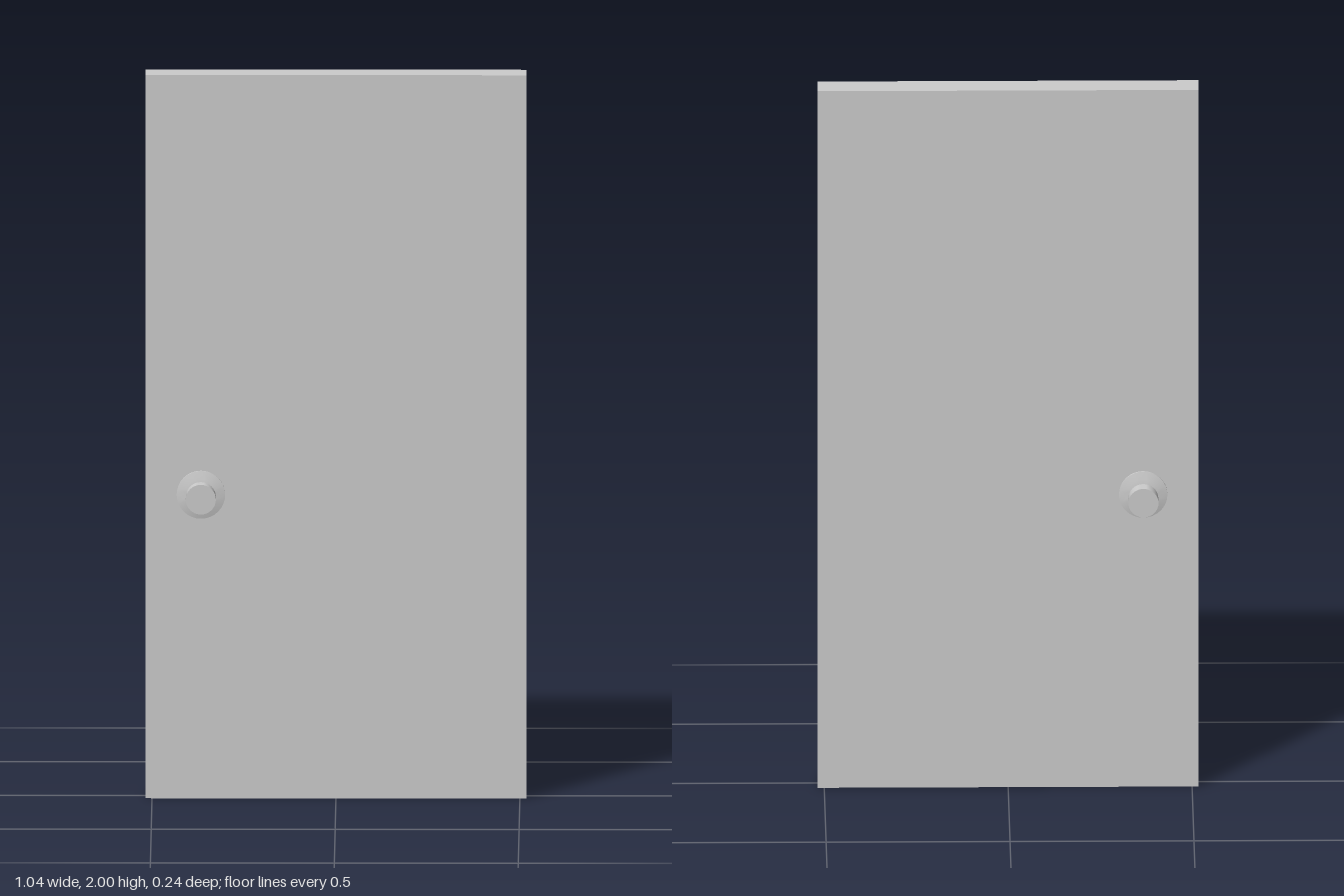
import * as THREE from 'three';
import { toCreasedNormals } from 'three/addons/utils/BufferGeometryUtils.js';

const HALF_THICKNESS = 0.041;

export function createModel() {
  const material = new THREE.MeshStandardMaterial({ color: 0xcccccc });
  const model = new THREE.Group();
  model.name = 'door';

  const add = (parent, name, geometry) => {
    const mesh = new THREE.Mesh(geometry, material);
    mesh.name = name;
    parent.add(mesh);
    return mesh;
  };

  // Turned part: [radius, distance from door centre] pairs, axis along +z
  const turned = (points) => {
    const profile = points.map(([r, d]) => new THREE.Vector2(r, d));
    const geometry = new THREE.LatheGeometry(profile, 32).rotateX(Math.PI / 2);
    return toCreasedNormals(geometry, 0.4);
  };

  // Plain slab
  const panel = add(model, 'doorPanel', new THREE.BoxGeometry(1.036, 2, HALF_THICKNESS * 2));
  panel.position.y = 1;

  // Matching handles on both faces
  for (const side of ['front', 'back']) {
    const handle = new THREE.Group();
    handle.name = side + 'Handle';
    handle.position.set(-0.367, 0.84, 0);
    if (side === 'back') handle.rotation.y = Math.PI;
    model.add(handle);

    // Shallow domed backplate
    add(handle, 'backplate', turned([
      [0.066, HALF_THICKNESS], [0.066, 0.046], [0.045, 0.051], [0.024, 0.055], [0, 0.055],
    ]));
    // Neck and flat-faced knob
    add(handle, 'neck', turned([[0.0235, 0.05], [0.0235, 0.079]]));
    add(handle, 'knob', turned([[0, 0.077], [0.041, 0.077], [0.041, 0.118], [0, 0.118]]));
  }
  return model;
}
